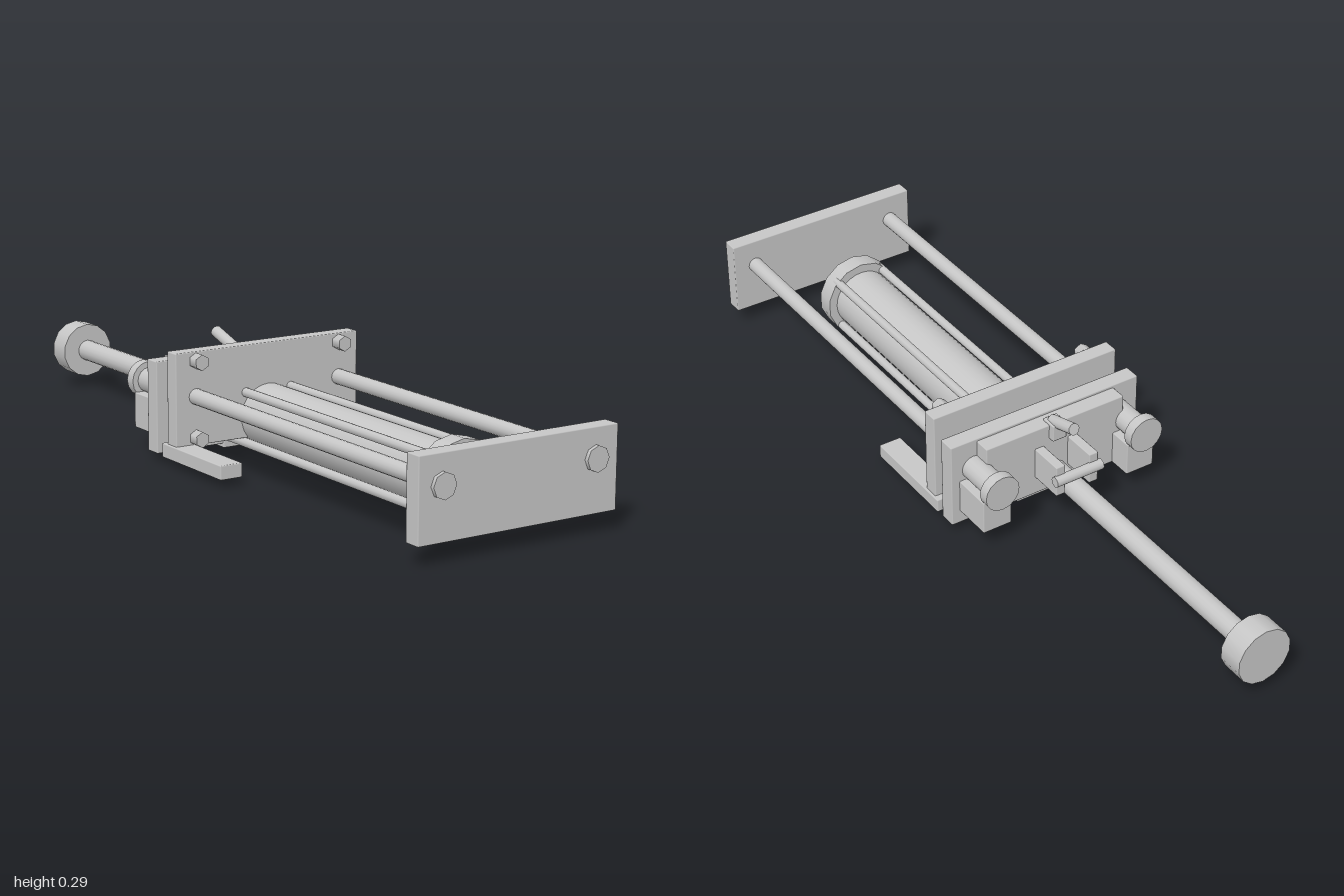
import * as THREE from 'three';
import { RoundedBoxGeometry } from 'three/addons/geometries/RoundedBoxGeometry.js';

export function createModel() {
  const model = new THREE.Group();
  const steel = new THREE.MeshStandardMaterial({ color: 0xc6c6c6 });
  steel.name = 'light steel';

  const add = (name, geometry) => {
    const mesh = new THREE.Mesh(geometry, steel);
    mesh.name = name;
    model.add(mesh);
    return mesh;
  };
  // box given by its limits on each axis
  const box = (name, x0, x1, y0, y1, z0, z1, bevel = 0.003) => {
    const mesh = add(name, new RoundedBoxGeometry(x1 - x0, y1 - y0, z1 - z0, 1, bevel));
    mesh.position.set((x0 + x1) / 2, (y0 + y1) / 2, (z0 + z1) / 2);
    return mesh;
  };
  // cylinder lying along z
  const rod = (name, r, x, y, z0, z1, sides = 16) => {
    const g = new THREE.CylinderGeometry(r, r, z1 - z0, sides);
    g.rotateX(Math.PI / 2);
    const mesh = add(name, g);
    mesh.position.set(x, y, (z0 + z1) / 2);
    return mesh;
  };

  const axisY = 0.107;
  const guideY = 0.178;

  // plates
  box('pushPlate', -0.273, 0.273, 0.05, 0.25, 0.945, 0.99);
  box('mountPlate', -0.267, 0.267, 0.055, 0.29, -0.05, -0.008);
  box('rearPlate', -0.273, 0.273, 0.025, 0.257, -0.135, -0.09);
  box('backingPlate', -0.2, 0.2, 0.06, 0.25, -0.178, -0.13);
  box('lowerBlock', -0.083, 0.083, 0.015, 0.04, -0.135, -0.085);

  // main cylinder with its end cap and piston rod
  rod('barrel', 0.079, 0, axisY, -0.1, 0.76, 28);
  rod('endCap', 0.103, 0, axisY, 0.742, 0.79, 14);
  rod('pistonRod', 0.028, 0, axisY, -0.95, -0.12);
  rod('endKnob', 0.073, 0, axisY, -1, -0.935, 14);

  // tie rods around the barrel
  for (const sx of [-1, 1])
    for (const sy of [-1, 1])
      rod('tieRod', 0.012, sx * 0.066, axisY + sy * 0.064, -0.1, 0.76, 10);

  for (const s of [-1, 1]) {
    const x = s * 0.21;
    // guide rod with its end head and bushing
    rod('guideRod', 0.02, x, guideY, -0.2, 0.95);
    rod('guideRodHead', 0.031, x, guideY, 0.985, 1, 8);
    rod('bushing', 0.032, x, guideY, -0.245, -0.13);
    rod('bushingCap', 0.047, x, guideY, -0.263, -0.235);
    box('bushingBlock', x - 0.04, x + 0.04, 0.06, 0.15, -0.24, -0.13);

    // hexagon bolts on the mount plate
    for (const y of [0.267, 0.075]) rod('plateBolt', 0.02, x, y, -0.01, 0.022, 6);

    // foot rail and its screws
    box('footRail', Math.min(s * 0.212, s * 0.273), Math.max(s * 0.212, s * 0.273), 0.022, 0.058, -0.068, 0.205);
    for (const z of [0.15, 0.075, 0]) {
      const screw = add('footScrew', new THREE.CylinderGeometry(0.013, 0.013, 0.012, 10));
      screw.position.set(s * 0.243, 0.02, z);
    }

    // clevis lug
    box('clevisLug', s * 0.048 - 0.013, s * 0.048 + 0.013, 0.11, 0.195, -0.27, -0.17);
  }

  // clevis pin and latch lever
  const pin = add('clevisPin', new THREE.CylinderGeometry(0.014, 0.014, 0.135, 12));
  pin.rotation.z = Math.PI / 2;
  pin.position.set(0, 0.158, -0.273);
  const lever = add('lever', new THREE.CylinderGeometry(0.015, 0.015, 0.095, 12));
  lever.rotation.x = -Math.PI / 2 + 0.3;
  lever.position.set(0, 0.262, -0.208);
  box('leverBase', -0.02, 0.02, 0.21, 0.255, -0.195, -0.15);

  return model;
}
